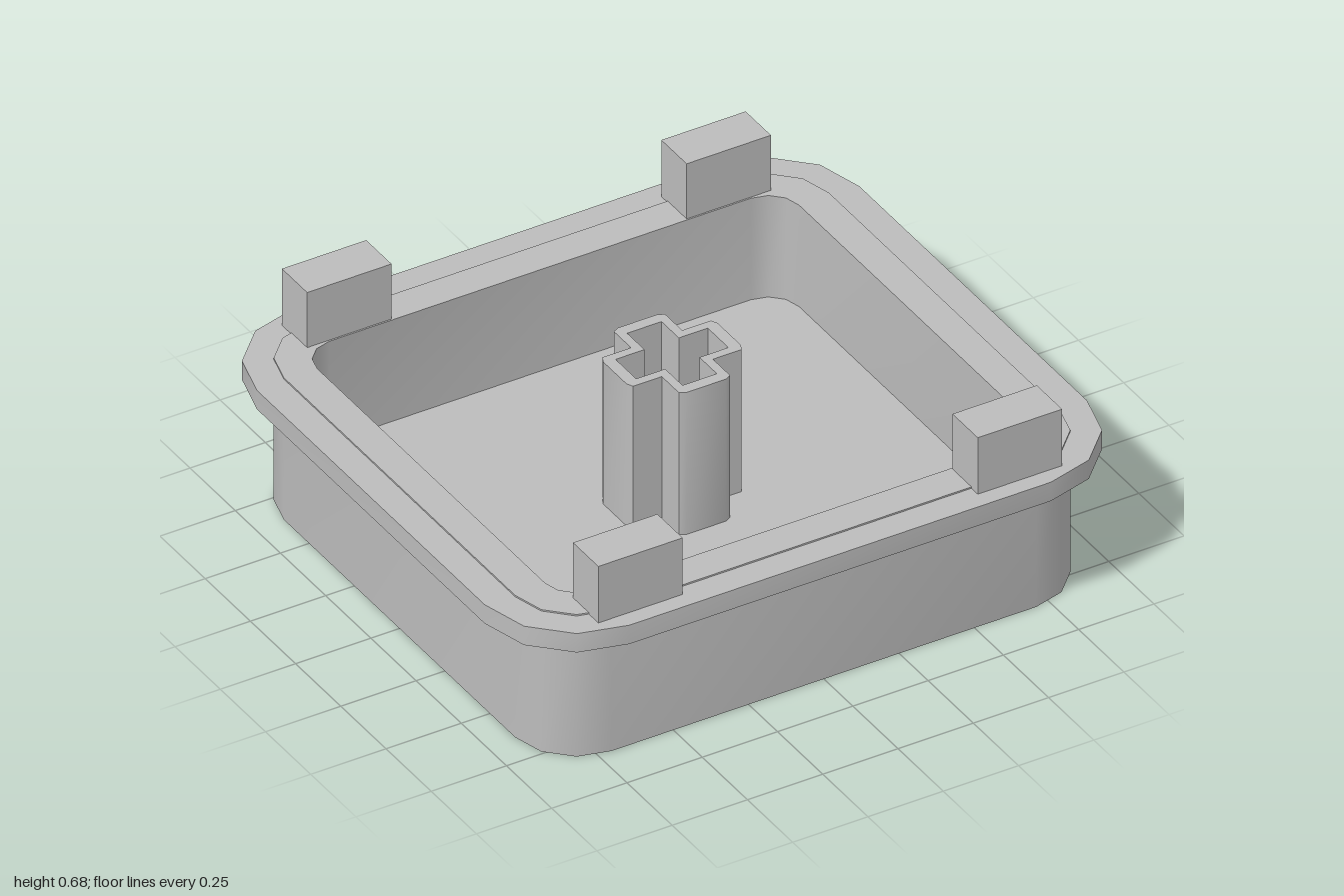
import * as THREE from 'three';
import { mergeGeometries, toCreasedNormals } from 'three/addons/utils/BufferGeometryUtils.js';

const CREASE = 0.6;
const RIM = 0.49, FLOOR = 0.14, ENGRAVE = 0.035;

// Outlines are counter-clockwise [x, -z] points
function roundedRect(hx, hz, r, segments = 3) {
  const pts = [];
  [[1, 1], [-1, 1], [-1, -1], [1, -1]].forEach(([sx, sz], q) => {
    for (let i = 0; i <= segments; i++) {
      const a = (q + i / segments) * Math.PI / 2;
      pts.push(new THREE.Vector2(sx * (hx - r) + r * Math.cos(a), sz * (hz - r) + r * Math.sin(a)));
    }
  });
  return pts;
}

function pentagon(r) {
  return Array.from({ length: 5 }, (_, i) => {
    const a = Math.PI + i * Math.PI * 2 / 5;
    return new THREE.Vector2(r * Math.cos(a), r * Math.sin(a));
  });
}

function slot(angle) {
  return [[0.275, -0.032], [0.38, -0.032], [0.38, 0.032], [0.275, 0.032]]
    .map(([x, y]) => new THREE.Vector2(x, y).rotateAround(new THREE.Vector2(), angle));
}

// Plus-shaped outline with chamfered arm ends
function cross(reach, half, chamfer) {
  const arm = [[reach, -half + chamfer], [reach, half - chamfer]];
  if (chamfer > 0) {
    arm.unshift([reach - chamfer * 0.5, -half]);
    arm.push([reach - chamfer * 0.5, half]);
  }
  arm.push([half, half]);
  const pts = [];
  for (let q = 0; q < 4; q++) {
    for (const [x, y] of arm) {
      pts.push(new THREE.Vector2(x, y).rotateAround(new THREE.Vector2(), q * Math.PI / 2));
    }
  }
  return pts;
}

function shapeOf(outline, holes = []) {
  const shape = new THREE.Shape(outline);
  shape.holes = holes.map((h) => new THREE.Path(h));
  return shape;
}

// Horizontal face at height y
function face(outline, holes, y, up) {
  const g = new THREE.ShapeGeometry(shapeOf(outline, holes));
  g.rotateX(-Math.PI / 2).translate(0, y, 0);
  g.deleteAttribute('uv');
  g.deleteAttribute('normal');
  if (!up) g.index.array.reverse();
  return g.toNonIndexed();
}

// Vertical wall following an outline, facing outward or inward
function wall(outline, y0, y1, outward = true) {
  const pts = outward ? outline : [...outline].reverse();
  const v = [];
  pts.forEach((a, i) => {
    const b = pts[(i + 1) % pts.length];
    v.push(a.x, y0, -a.y, b.x, y0, -b.y, b.x, y1, -b.y);
    v.push(a.x, y0, -a.y, b.x, y1, -b.y, a.x, y1, -a.y);
  });
  return new THREE.BufferGeometry().setAttribute('position', new THREE.Float32BufferAttribute(v, 3));
}

export function createModel() {
  const group = new THREE.Group();
  const plastic = new THREE.MeshStandardMaterial({ color: 0xbcbcbc });
  plastic.name = 'grey plastic';

  const add = (name, geometry) => {
    const mesh = new THREE.Mesh(geometry, plastic);
    mesh.name = name;
    group.add(mesh);
    return mesh;
  };
  const addFaces = (name, parts) => add(name, toCreasedNormals(mergeGeometries(parts), CREASE));

  const body = roundedRect(0.905, 0.84, 0.2);
  const cavity = roundedRect(0.8, 0.73, 0.1);
  const flange = roundedRect(1, 0.93, 0.3);

  // Open tray, with a pentagon groove and eight slots sunk into its underside
  const groove = pentagon(0.205), island = pentagon(0.155);
  const slots = Array.from({ length: 8 }, (_, i) => slot(i * Math.PI / 4));
  const tray = [
    wall(body, 0, RIM),
    face(body, [cavity], RIM, true),
    wall(cavity, FLOOR, RIM, false),
    face(cavity, [], FLOOR, true),
    face(body, [groove, ...slots], 0, false),
    wall(groove, 0, ENGRAVE, false),
    face(groove, [island], ENGRAVE, false),
    wall(island, 0, ENGRAVE),
    face(island, [], 0, false),
  ];
  for (const s of slots) {
    tray.push(wall(s, 0, ENGRAVE, false), face(s, [], ENGRAVE, false));
  }
  addFaces('tray', tray);

  // Flange around the rim
  addFaces('flange', [
    wall(flange, 0.42, 0.485),
    face(flange, [body], 0.485, true),
    face(flange, [body], 0.42, false),
  ]);

  // Hollow cross-shaped stem
  const outer = cross(0.19, 0.085, 0.02), inner = cross(0.153, 0.057, 0);
  addFaces('stem', [
    wall(outer, FLOOR, 0.63),
    wall(inner, FLOOR, 0.63, false),
    face(outer, [inner], 0.63, true),
  ]);

  // Four corner tabs
  for (const sx of [-1, 1]) {
    for (const sz of [-1, 1]) {
      const tab = add('tab', new THREE.BoxGeometry(0.28, 0.2, 0.14));
      tab.position.set(sx * 0.63, 0.58, sz * 0.805);
    }
  }
  return group;
}
